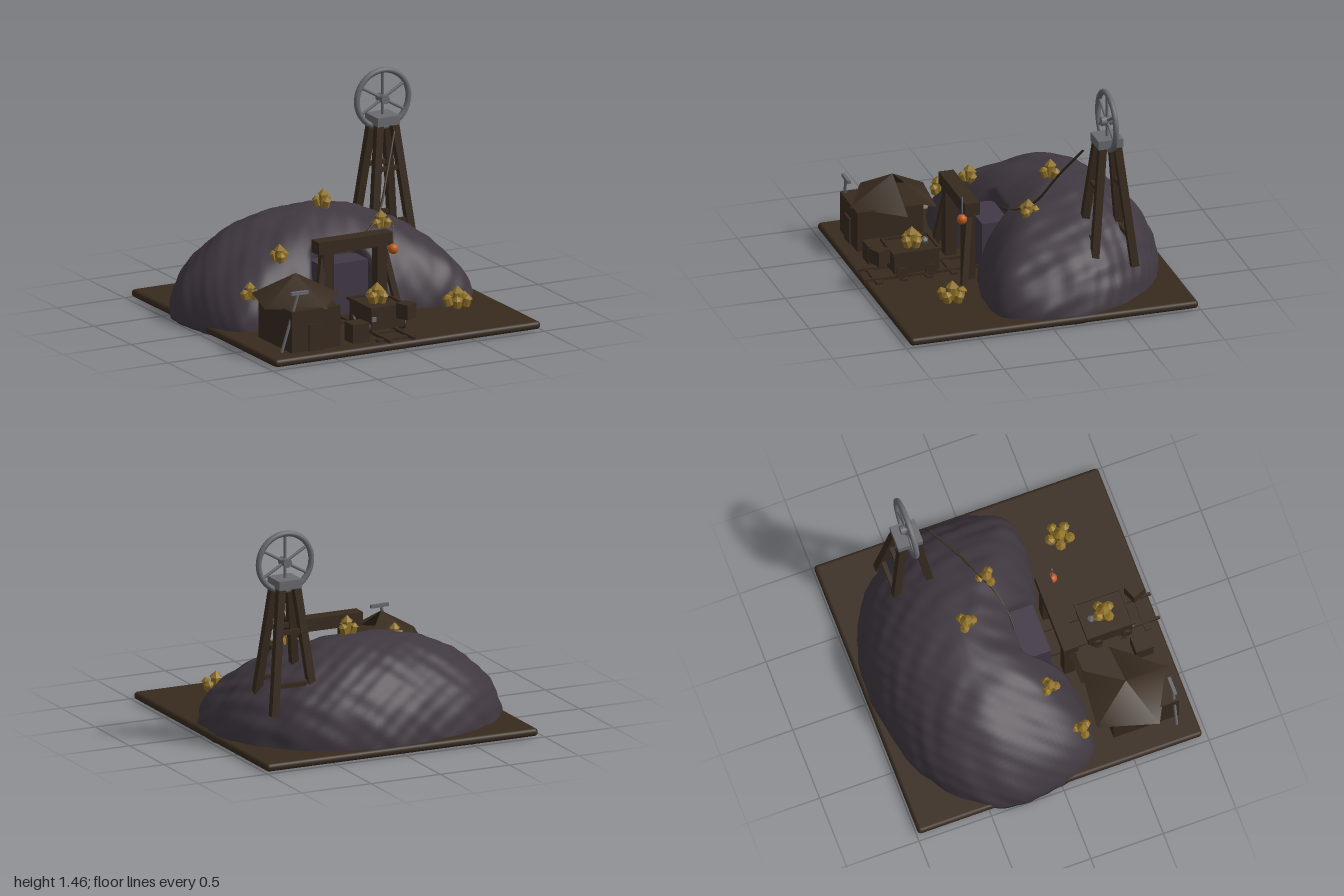
import * as THREE from 'three';
import { RoundedBoxGeometry } from 'three/addons/geometries/RoundedBoxGeometry.js';

const mat = (name, color, extra = {}) => {
  const m = new THREE.MeshStandardMaterial({ color, ...extra });
  m.name = name;
  return m;
};
const V = (x, y, z) => new THREE.Vector3(x, y, z);

export function createModel() {
  const model = new THREE.Group();
  model.name = 'mineDiorama';
  const wood = mat('wood', 0x382b1f);
  const roofWood = mat('roofWood', 0x382b1f, { side: THREE.DoubleSide });
  const rock = mat('rock', 0x403840);
  const lining = mat('tunnelLining', 0x413946);
  const metal = mat('metal', 0x6a6b6f);
  const gold = mat('gold', 0x8e7026, { flatShading: true });
  const orange = mat('lanternOrange', 0xbe5a1c);

  const add = (name, geo, material, x = 0, y = 0, z = 0, parent = model) => {
    const m = new THREE.Mesh(geo, material);
    m.name = name;
    m.position.set(x, y, z);
    parent.add(m);
    return m;
  };
  const box = (name, material, w, h, d, x, y, z, parent) =>
    add(name, new THREE.BoxGeometry(w, h, d), material, x, y, z, parent);
  // Bar running from one point to another
  const bar = (name, material, a, b, w, round = false) => {
    const len = a.distanceTo(b);
    const geo = round ? new THREE.CylinderGeometry(w / 2, w / 2, len, 10) : new THREE.BoxGeometry(w, len, w);
    const m = add(name, geo, material);
    m.position.copy(a).lerp(b, 0.5);
    m.quaternion.setFromUnitVectors(V(0, 1, 0), b.clone().sub(a).normalize());
    return m;
  };

  // Ground slab
  add('base', new RoundedBoxGeometry(1.96, 0.052, 1.96, 3, 0.024), wood, 0.016, 0.038, -0.01);

  // Rocky mound: rings scaled from a footprint, cut back in front of the tunnel
  const footprint = [[-0.99, -0.35], [-0.85, -0.65], [-0.55, -0.85], [-0.2, -0.95], [0.05, -0.965],
    [0.3, -0.94], [0.55, -0.85], [0.75, -0.7], [0.89, -0.5], [0.97, -0.3], [0.98, -0.08], [0.94, 0.15],
    [0.85, 0.29], [0.68, 0.335], [0.48, 0.32], [0.25, 0.29], [0, 0.28], [-0.25, 0.29],
    [-0.4, 0.31], [-0.6, 0.315], [-0.8, 0.28], [-0.93, 0.15], [-0.97, -0.05]];
  const ring = new THREE.CatmullRomCurve3(footprint.map(([x, z]) => V(x, 0, z)), true).getSpacedPoints(180);
  ring.pop();
  const N = ring.length, K = 44, B = 16, cz = -0.33;
  const noise = (x, y, z) => Math.sin(9 * x + 4 * z + 1) * Math.sin(8 * z - 3 * y) * 0.4
    + Math.sin(19 * x - 11 * y) * Math.sin(17 * z + 13 * y + 2) * 0.35
    + Math.sin(37 * x + 15 * z) * Math.sin(35 * y + 29 * z) * 0.25;
  const pos = [], idx = [];
  for (let k = 0; k <= K + B; k++) {
    const t = k <= K ? Math.sin((k / K) * Math.PI / 2) : 1 - (k - K) / B;
    for (const p of ring) {
      const front = THREE.MathUtils.smoothstep(p.z, -0.5, 0.2);
      let x = p.x * t, z = cz + (p.z - cz) * t;
      let y = 0.012 + 0.645 * Math.sqrt(Math.max(0, 1 - Math.pow(t, 1.95 - 0.4 * front)));
      if (k <= K) {
        const s = 1 + 0.024 * noise(x, y, z) * Math.min(1, t * 3);
        x *= s; y *= s; z = cz + (z - cz) * s;
      } else {
        y = 0.0125 + 0.008 * noise(x * 1.4, 0.4, z * 1.4);
      }
      z = Math.min(z, 0.02 + 0.35 * THREE.MathUtils.smoothstep(Math.abs(x + 0.03), 0.14, 0.33));
      pos.push(x, y, z);
    }
  }
  for (let k = 0; k < K + B; k++) {
    for (let i = 0; i < N; i++) {
      const j = (i + 1) % N, a = k * N + i, d = k * N + j, b = a + N, c = d + N;
      idx.push(a, c, b, a, d, c);
    }
  }
  const moundGeo = new THREE.BufferGeometry();
  moundGeo.setAttribute('position', new THREE.Float32BufferAttribute(pos, 3));
  moundGeo.setIndex(idx);
  moundGeo.computeVertexNormals();
  add('mound', moundGeo, rock);

  // Tunnel mouth and timber portal
  box('tunnelLining', lining, 0.34, 0.35, 0.19, -0.035, 0.235, 0.11);
  box('portalLintel', wood, 0.55, 0.085, 0.1, -0.035, 0.572, 0.305);
  for (const s of [-1, 1]) {
    const x = -0.035 + s * 0.198;
    bar('portalPost', wood, V(x, 0.06, 0.31), V(x, 0.54, 0.31), 0.075);
    bar('portalBrace', wood, V(x + s * 0.115, 0.06, 0.375), V(x + s * 0.025, 0.5, 0.315), 0.04);
  }

  // Lantern on the portal
  add('lantern', new THREE.SphereGeometry(0.034, 20, 14), orange, 0.228, 0.508, 0.372);
  bar('lanternRod', metal, V(0.23, 0.53, 0.372), V(0.23, 0.665, 0.372), 0.011, true);

  // Headframe tower
  const hx = 0.62, hz = -0.487;
  for (const sx of [-1, 1]) for (const sz of [-1, 1]) {
    bar('towerLeg', wood, V(hx + sx * 0.15, 0.27, hz + sz * 0.14), V(hx + sx * 0.055, 1.1, hz + sz * 0.05), 0.05);
  }
  for (const sz of [-1, 1]) {
    box('towerBrace', wood, 0.18, 0.028, 0.028, hx, 0.805, hz + sz * 0.082);
    box('towerBrace', wood, 0.26, 0.028, 0.028, hx, 0.46, hz + sz * 0.12);
  }
  box('towerCap', metal, 0.165, 0.06, 0.17, hx, 1.12, hz);

  // Winding wheel
  const wheel = new THREE.Group();
  wheel.name = 'windingWheel';
  wheel.position.set(hx, 1.255, hz);
  model.add(wheel);
  add('wheelRim', new THREE.TorusGeometry(0.19, 0.019, 12, 48), metal, 0, 0, 0, wheel);
  add('wheelHub', new THREE.CylinderGeometry(0.03, 0.03, 0.086, 16), metal, 0, 0, 0, wheel).rotation.x = Math.PI / 2;
  for (let i = 0; i < 3; i++) {
    add('wheelSpoke', new THREE.CylinderGeometry(0.01, 0.01, 0.38, 8), metal, 0, 0, 0, wheel).rotation.z = i * Math.PI / 3;
  }

  // Hoisting cable
  const cable = new THREE.CatmullRomCurve3([V(0.62, 1.07, -0.33), V(0.5, 0.86, -0.2), V(0.38, 0.64, -0.085),
    V(0.26, 0.54, -0.01), V(0.12, 0.48, 0.025), V(0, 0.45, 0.03)]);
  add('cable', new THREE.TubeGeometry(cable, 40, 0.008, 8), wood);

  // Rails and sleepers
  for (const x of [-0.12, 0.053]) box('rail', wood, 0.018, 0.02, 0.78, x, 0.08, 0.595);
  for (const z of [0.38, 0.55, 0.72, 0.89]) box('sleeper', wood, 0.28, 0.018, 0.045, -0.033, 0.07, z);

  // Mine cart
  box('cartBody', wood, 0.245, 0.14, 0.3, -0.033, 0.18, 0.635);
  for (const s of [-1, 1]) {
    box('cartRim', wood, 0.018, 0.02, 0.33, -0.033 + s * 0.125, 0.255, 0.635);
    box('cartRim', wood, 0.265, 0.02, 0.018, -0.033, 0.255, 0.635 + s * 0.155);
    for (const z of [0.54, 0.74]) {
      add('cartWheel', new THREE.CylinderGeometry(0.038, 0.038, 0.025, 16), wood, -0.033 + s * 0.125, 0.12, z).rotation.z = Math.PI / 2;
    }
  }
  box('cartLatch', metal, 0.03, 0.03, 0.015, -0.14, 0.185, 0.79);
  add('oreChunk', new THREE.DodecahedronGeometry(0.025), metal, -0.04, 0.27, 0.54);

  // Crates
  box('crate', wood, 0.12, 0.125, 0.12, -0.275, 0.127, 0.805);
  box('smallCrate', wood, 0.095, 0.1, 0.095, 0.05, 0.243, 0.875).rotation.y = 0.4;

  // Hut with an open-sectored pyramid roof
  box('hutWalls', wood, 0.36, 0.28, 0.45, -0.61, 0.2, 0.645);
  box('hutDoor', wood, 0.105, 0.18, 0.02, -0.615, 0.152, 0.872);
  add('hutRoof', new THREE.ConeGeometry(0.32, 0.175, 4, 1, false, 2.36, 5.5), roofWood, -0.6, 0.42, 0.575);

  // Pickaxe leaning by the hut
  bar('pickHandle', metal, V(-0.845, 0.07, 0.835), V(-0.73, 0.46, 0.85), 0.02, true);
  bar('pickHead', metal, V(-0.785, 0.458, 0.85), V(-0.66, 0.455, 0.85), 0.022);

  // Gold nugget clusters: one upright capped stub with leaning ones around it
  const nugget = (parent, r, h, tip) => {
    const g = new THREE.Group();
    g.name = 'nugget';
    add('nuggetShaft', new THREE.CylinderGeometry(r * 0.9, r, h, 7), gold, 0, h / 2, 0, g);
    add('nuggetTip', new THREE.ConeGeometry(r * 1.2, tip, 7), gold, 0, h + tip / 2, 0, g);
    parent.add(g);
    return g;
  };
  const clusters = [[0.07, 0.66, -0.28, 3, 1], [0.36, 0.535, -0.035, 3, 1], [-0.46, 0.455, 0.1, 3, 0.95],
    [-0.745, 0.27, 0.22, 3, 0.95], [-0.03, 0.255, 0.63, 4, 1.1], [0.6, 0.13, 0.56, 5, 1.1]];
  clusters.forEach(([x, y, z, n, s], c) => {
    const g = new THREE.Group();
    g.name = 'goldCluster';
    g.position.set(x, y, z);
    g.scale.setScalar(s);
    model.add(g);
    nugget(g, 0.033, 0.078, 0.04);
    const spread = n === 5 ? 0.05 : 0.032;
    for (let i = 0; i < n; i++) {
      const a = c * 0.9 + (i * 2 * Math.PI) / n;
      const k = nugget(g, 0.026, 0.05, 0.022);
      k.position.set(Math.sin(a) * spread, 0, Math.cos(a) * spread);
      k.rotation.set(0.3, a, 0, 'YXZ');
    }
  });
  return model;
}
